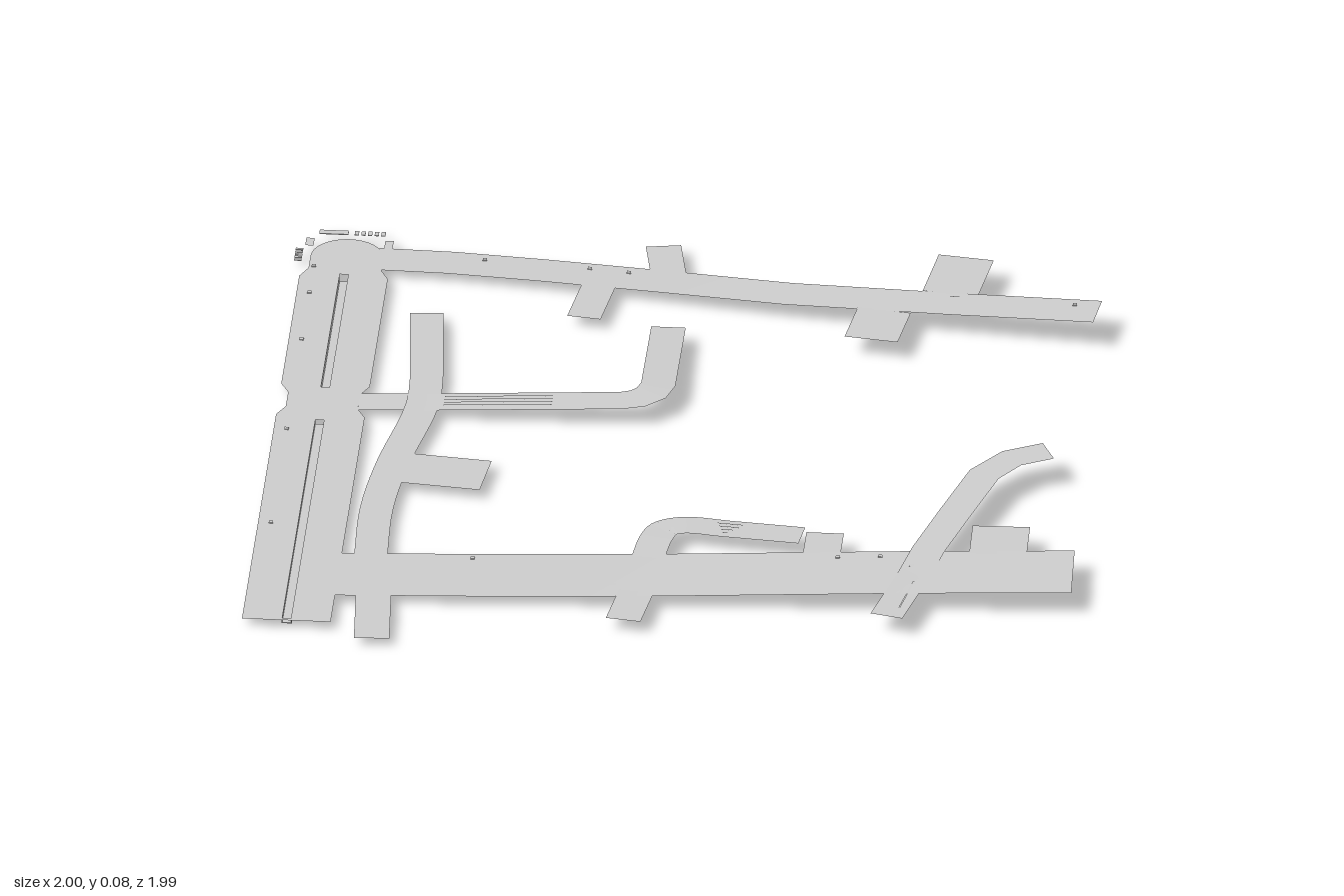
import * as THREE from 'three';

const grey = new THREE.MeshStandardMaterial({ color: 0xcccccc, side: THREE.DoubleSide });

// Height of the ground under the front and back streets
const heightAt = (keys, x) => {
  for (let i = 1; i < keys.length; i++) {
    const [x0, y0] = keys[i - 1], [x1, y1] = keys[i];
    if (x <= x1 || i === keys.length - 1) return y0 + (y1 - y0) * (x - x0) / (x1 - x0);
  }
};
const frontY = x => heightAt([[-0.77, 0.022], [0, 0.036], [0.6, 0.055], [1, 0.065]], x);
const backY = x => heightAt([[-0.77, 0.022], [0, 0.036], [0.5, 0.056], [0.95, 0.08]], x);

// Flat ribbon of constant width along points [x, y, z], with mitred joints
function ribbon(points, width) {
  const pos = [], index = [];
  const dir = (a, b) => new THREE.Vector2(b[0] - a[0], b[2] - a[2]).normalize();
  points.forEach((p, i) => {
    const d0 = dir(points[Math.max(i - 1, 0)], points[Math.max(i, 1)]);
    const last = points.length - 1;
    const d1 = dir(points[Math.min(i, last - 1)], points[Math.min(i + 1, last)]);
    const d = d0.clone().add(d1).normalize();
    const half = width / 2 / Math.max(d.dot(d0), 0.5);
    pos.push(p[0] + d.y * half, p[1], p[2] - d.x * half, p[0] - d.y * half, p[1], p[2] + d.x * half);
    if (i) {
      const a = 2 * i - 2;
      index.push(a, a + 1, a + 2, a + 1, a + 3, a + 2);
    }
  });
  const g = new THREE.BufferGeometry();
  g.setAttribute('position', new THREE.Float32BufferAttribute(pos, 3));
  g.setIndex(index);
  g.computeVertexNormals();
  return g;
}

// Rounds a path of control points into a smooth one
const smooth = (pts, n = 24) => new THREE.CatmullRomCurve3(
  pts.map(p => new THREE.Vector3(...p)), false, 'centripetal').getPoints(n).map(v => v.toArray());

export function createModel() {
  const model = new THREE.Group();
  const add = (name, geometry) => {
    const mesh = new THREE.Mesh(geometry, grey);
    mesh.name = name;
    model.add(mesh);
    return mesh;
  };
  const box = (name, w, h, d, x, y, z) =>
    add(name, new THREE.BoxGeometry(w, h, d)).position.set(x, y, z);
  const street = (name, pts, width) => add(name, ribbon(pts, width));
  // street whose points are [x, z], laid on a height rule
  const laid = (name, pts, width, yAt) => street(name, pts.map(([x, z]) => [x, yAt(x), z]), width);

  // Avenue: pinched at the crossing, round at the back, slotted for the median
  const right = -0.765, left = -0.978, cx = -0.8715;
  const avenue = new THREE.Shape();
  avenue.moveTo(left, -0.915);
  avenue.lineTo(right, -0.915);
  [[right, 0.09], [-0.785, 0.13], [-0.785, 0.2], [right, 0.24], [right, 0.77], [-0.784, 0.81], [-0.784, 0.87]]
    .forEach(([x, y]) => avenue.lineTo(x, y));
  avenue.absarc(cx, 0.87, 0.0875, 0, Math.PI, false);
  [[-0.959, 0.81], [left, 0.77], [left, 0.24], [-0.958, 0.2], [-0.958, 0.13], [left, 0.09], [left, -0.915]]
    .forEach(([x, y]) => avenue.lineTo(x, y));
  const medians = [[-0.785, -0.23, 0], [-0.07, 0.905, 0.008]];
  for (const [z0, z1] of medians) {
    const slot = new THREE.Path();
    slot.moveTo(-0.883, -z0);
    slot.lineTo(-0.883, -z1);
    slot.lineTo(-0.86, -z1);
    slot.lineTo(-0.86, -z0);
    slot.closePath();
    avenue.holes.push(slot);
  }
  const deck = new THREE.ShapeGeometry(avenue, 16);
  deck.rotateX(-Math.PI / 2);
  add('avenue', deck).position.y = 0.022;

  // Sunken median channels
  for (const [z0, z1, y] of medians) {
    const d = z1 - z0, z = (z0 + z1) / 2, h = 0.022 - y;
    box('medianFloor', 0.025, 0.002, d, cx, y + 0.001, z);
    for (const s of [-1, 1]) box('medianWall', 0.002, h, d, cx + s * 0.0115, y + h / 2, z);
  }

  // Front street with its side stubs and pads
  laid('frontStreet', [[-0.77, 0.68], [-0.4, 0.668], [0, 0.647], [0.6, 0.618], [0.995, 0.601]], 0.207, frontY);
  laid('frontStub', [[-0.66, 0.99], [-0.675, 0.745]], 0.085, frontY);
  laid('frontStub', [[-0.065, 0.87], [-0.045, 0.73]], 0.085, frontY);
  laid('frontPad', [[0.805, 0.385], [0.808, 0.52]], 0.138, frontY);
  laid('frontPad', [[0.385, 0.43], [0.385, 0.53]], 0.09, frontY);
  street('curvedLane', smooth([[-0.03, 0.036, 0.56], [-0.018, 0.039, 0.47], [0, 0.04, 0.425],
    [0.045, 0.042, 0.408], [0.15, 0.043, 0.42], [0.33, 0.046, 0.443]]), 0.08);
  street('hillLane', [[0.565, 0.052, 0.83], [0.615, 0.056, 0.63], [0.64, 0.06, 0.51], [0.69, 0.067, 0.34],
    [0.745, 0.072, 0.155], [0.805, 0.077, 0.08], [0.89, 0.08, 0.042]], 0.08);

  // Back street with its side stubs
  laid('backStreet', [[-0.8, -0.868], [-0.62, -0.858], [-0.4, -0.832], [-0.1, -0.79], [0.2, -0.738],
    [0.6, -0.69], [0.952, -0.647]], 0.107, backY);
  laid('backStub', [[-0.118, -0.965], [-0.095, -0.83]], 0.085, backY);
  laid('backStub', [[-0.28, -0.605], [-0.258, -0.76]], 0.082, backY);
  laid('backStub', [[0.614, -0.918], [0.59, -0.74]], 0.135, backY);
  laid('backStub', [[0.418, -0.516], [0.438, -0.66]], 0.13, backY);

  // Inner streets between the front and back streets
  street('innerStreet', smooth([[-0.658, 0.026, -0.605], [-0.63, 0.028, -0.23], [-0.635, 0.028, -0.12],
    [-0.68, 0.026, 0.14], [-0.7, 0.025, 0.36], [-0.695, 0.024, 0.59]]), 0.08);
  street('innerPad', [[-0.645, 0.027, 0.157], [-0.452, 0.028, 0.18]], 0.145);
  street('bentStreet', [[-0.785, 0.022, -0.166], [-0.6, 0.029, -0.168], [-0.155, 0.052, -0.17],
    [-0.115, 0.054, -0.18], [-0.085, 0.055, -0.208], [-0.072, 0.056, -0.25], [-0.072, 0.045, -0.55]], 0.083);

  // Painted lines: [from x,z] [to x,z], count, spacing, height rule
  const lines = (x0, z0, x1, z1, count, gap, yAt) => {
    const d = new THREE.Vector2(x1 - x0, z1 - z0).normalize();
    for (let i = 0; i < count; i++) {
      const o = (i - (count - 1) / 2) * gap;
      const p = [[x0 - d.y * o, z0 + d.x * o], [x1 - d.y * o, z1 + d.x * o]];
      street('laneLine', p.map(([x, z]) => [x, yAt(x, z) + 0.001, z]), 0.004);
    }
  };
  lines(-0.26, 0.66, -0.1, 0.652, 2, 0.09, frontY);
  lines(0.77, 0.612, 0.92, 0.605, 2, 0.08, frontY);
  lines(-0.668, 0.78, -0.66, 0.95, 4, 0.015, frontY);
  lines(0.575, 0.79, 0.6, 0.66, 3, 0.018, x => 0.052 + (x - 0.565) * 0.08);
  lines(0.07, 0.411, 0.3, 0.439, 4, 0.014, x => 0.042 + x * 0.012);
  lines(0.32, -0.724, 0.69, -0.68, 4, 0.022, backY);
  lines(-0.58, -0.169, -0.32, -0.17, 4, 0.014, x => 0.03 + (x + 0.6) * 0.052);
  lines(-0.072, -0.3, -0.072, -0.53, 4, 0.014, (x, z) => 0.056 + (z + 0.25) * 0.037);

  // Utility covers
  const covers = [[-0.947, -0.82], [-0.947, -0.69], [-0.947, -0.46], [-0.947, -0.02], [-0.947, 0.44]];
  const cover = (x, y, z) => box('utilityCover', 0.01, 0.003, 0.01, x, y + 0.001, z);
  covers.forEach(([x, z]) => cover(x, 0.022, z));
  [[-0.45, 0.587], [0.425, 0.55], [0.527, 0.543], [0.605, 0.588]].forEach(([x, z]) => cover(x, frontY(x), z));
  [[-0.54, -0.875], [-0.285, -0.845], [-0.19, -0.83], [0.895, -0.68]].forEach(([x, z]) => cover(x, backY(x), z));

  // Crossing marks around the back corner
  for (let i = 0; i < 5; i++) {
    box('crossingMark', 0.01, 0.002, 0.018, -0.857 + i * 0.016, 0.022, -0.988);
    box('crossingMark', 0.018, 0.002, 0.008, -0.988, 0.022, -0.9 + i * 0.013);
  }
  box('crossingMark', 0.07, 0.002, 0.018, -0.912, 0.022, -0.988);
  for (const x of [-0.966, -0.776]) street('cornerMark', [[x, 0.022, -0.957], [x, 0.022, -0.92]], 0.02);

  return model;
}
